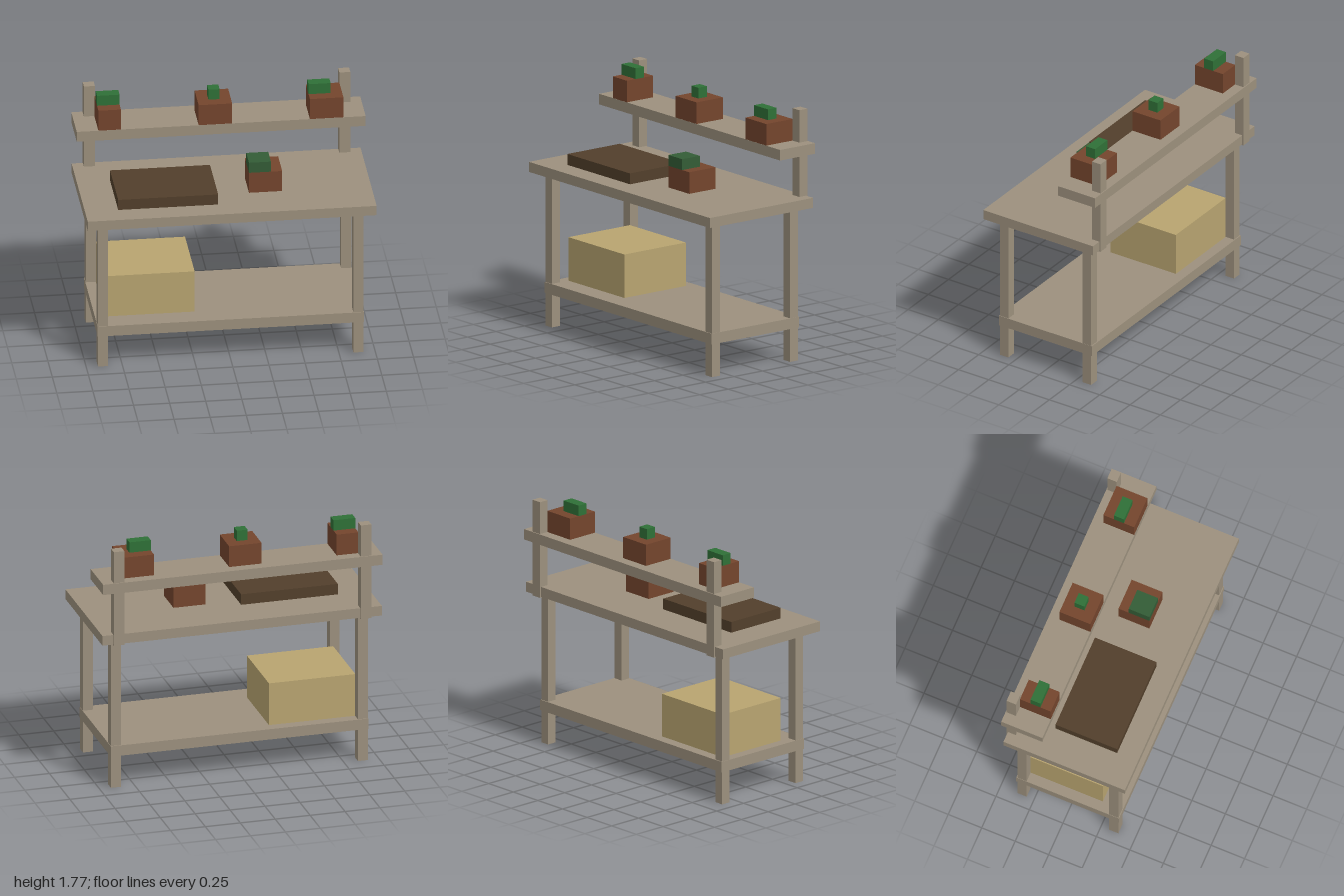
import * as THREE from 'three';

const paint = (name, color, side = THREE.FrontSide) => {
  const m = new THREE.MeshStandardMaterial({ color, side, flatShading: true });
  m.name = name;
  return m;
};

export function createModel() {
  const wood = paint('weathered wood', 0x9c907d, THREE.DoubleSide);
  const clay = paint('terracotta', 0x74452d);
  const soil = paint('dark soil', 0x523f2b);
  const leaf = paint('leaf green', 0x2f7037);
  const darkLeaf = paint('dark leaf green', 0x335c36);
  const straw = paint('straw', 0xb8a470);

  const bench = new THREE.Group();
  bench.name = 'pottingBench';

  // Box between two limits on each axis
  const block = (name, mat, [x0, x1], [y0, y1], [z0, z1], parent = bench) => {
    const mesh = new THREE.Mesh(new THREE.BoxGeometry(x1 - x0, y1 - y0, z1 - z0), mat);
    mesh.position.set((x0 + x1) / 2, (y0 + y1) / 2, (z0 + z1) / 2);
    mesh.name = name;
    parent.add(mesh);
    return mesh;
  };

  // Boards
  block('lowerShelf', wood, [-0.922, 0.922], [0.233, 0.309], [-0.382, 0.385]);
  block('tabletop', wood, [-1, 1], [1.086, 1.157], [-0.444, 0.462]);
  block('upperShelf', wood, [-1, 1], [1.467, 1.542], [-0.461, -0.154]);

  // Hollow square legs, open at the ends, and the rear posts
  const legShape = new THREE.CylinderGeometry(0.07 / Math.SQRT2, 0.07 / Math.SQRT2, 1.08, 4, 1, true);
  legShape.rotateY(Math.PI / 4);
  for (const s of [-1, 1]) {
    const side = s > 0 ? 'left' : 'right';
    for (const [end, z] of [['Front', 0.344], ['Back', -0.34]]) {
      const leg = new THREE.Mesh(legShape, wood);
      leg.position.set(s * 0.884, 0.54, z);
      leg.name = `${side}${end}Leg`;
      bench.add(leg);
    }
    block(`${side}Post`, wood, s > 0 ? [0.846, 0.922] : [-0.922, -0.846], [1.08, 1.772], [-0.454, -0.384]);
  }

  // Storage crate below and soil tray on the table
  block('storageCrate', straw, [-0.85, -0.232], [0.309, 0.617], [-0.306, 0.234]);
  block('soilTray', soil, [-0.77, -0.078], [1.08, 1.234], [-0.153, 0.307]);

  // Potted plants: pot x range, plant x range
  const shelfPots = [
    [[-0.85, -0.694], [-0.85, -0.694]],
    [[-0.156, 0.076], [-0.079, -0.002]],
    [[0.614, 0.846], [0.614, 0.767]],
  ];
  shelfPots.forEach(([potX, plantX], i) => {
    const g = new THREE.Group();
    g.name = `shelfPlant${i + 1}`;
    block('pot', clay, potX, [1.54, 1.695], [-0.385, -0.155], g);
    block('foliage', leaf, plantX, [1.695, 1.771], [-0.306, -0.232], g);
    bench.add(g);
  });
  const tablePlant = new THREE.Group();
  tablePlant.name = 'tablePlant';
  block('pot', clay, [0.154, 0.384], [1.08, 1.31], [-0.076, 0.154], tablePlant);
  block('foliage', darkLeaf, [0.154, 0.306], [1.31, 1.387], [0, 0.154], tablePlant);
  bench.add(tablePlant);

  return bench;
}
